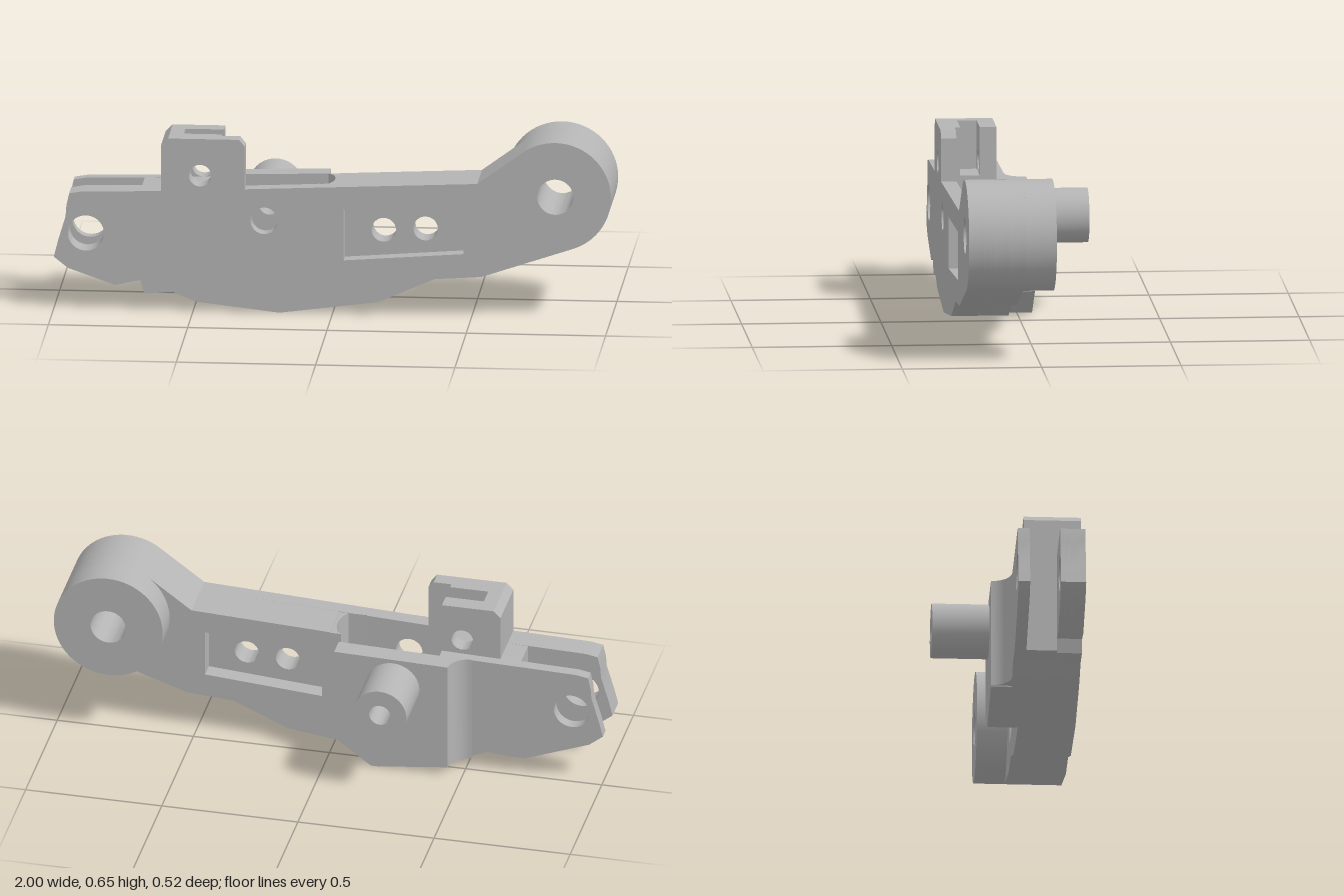
import * as THREE from 'three';
import { toCreasedNormals } from 'three/addons/utils/BufferGeometryUtils.js';

const steel = new THREE.MeshStandardMaterial({ color: 0xb4b4b4 });
steel.name = 'plain grey metal';

const BOSS = [0.8, 0.447];
const PIN = [-0.245, 0.338];

// Points along an arc, from angle a to angle b
function arc(cx, cy, r, a, b, n) {
  return Array.from({ length: n + 1 }, (_, i) => {
    const t = a + ((b - a) * i) / n;
    return [cx + r * Math.cos(t), cy + r * Math.sin(t)];
  });
}
const circle = (c, r, n = 40) => arc(c[0], c[1], r, 0, Math.PI * 2 * (1 - 1 / n), n - 1);
const vec = (pts) => pts.map(([x, y]) => new THREE.Vector2(x, y));

function extrude(pts, holes, depth) {
  const shape = new THREE.Shape(vec(pts));
  for (const h of holes) shape.holes.push(new THREE.Path(vec(h)));
  return new THREE.ExtrudeGeometry(shape, { depth, bevelEnabled: false });
}

function finish(geometry, name) {
  const mesh = new THREE.Mesh(toCreasedNormals(geometry, 0.45), steel);
  mesh.name = name;
  return mesh;
}

// Side profile extruded between two depths
function slab(name, z0, z1, pts, holes = []) {
  const g = extrude(pts, holes, z1 - z0);
  g.translate(0, 0, z0);
  return finish(g, name);
}

// Plan outline (x, z) raised between two heights
function upright(name, y0, y1, pts) {
  const g = extrude(pts, [], y1 - y0);
  g.rotateX(Math.PI / 2);
  g.translate(0, y1, 0);
  return finish(g, name);
}

export function createModel() {
  const group = new THREE.Group();
  group.name = 'leverArm';

  // Profile pieces, running clockwise from the rear lug
  const lug = [[-0.95, 0.15], [-1, 0.19], [-0.985, 0.25], [-0.958, 0.34], [-0.955, 0.38], [-0.945, 0.425], [-0.9, 0.433]];
  const lowerLug = [[-0.71, 0.06]];
  const nickedLug = [[-0.675, 0.06], [-0.69, 0.11], [-0.78, 0.09]];
  const slotEnd = [[-0.69, 0.062], [-0.69, 0.437]];
  const towerRear = [[-0.615, 0.44], [-0.615, 0.61], [-0.59, 0.635]];
  const tower = [...towerRear, [-0.335, 0.635], [-0.315, 0.61], [-0.315, 0.453]];
  const pocket = [[-0.4, 0.1], [0.01, 0.1], [0.01, 0.467]];
  const cutTower = [...towerRear, [-0.4, 0.635], ...pocket];
  const notchedTower = [...towerRear, [-0.54, 0.635], [-0.54, 0.46], [-0.4, 0.46], ...pocket];
  const nose = [[0.52, 0.49], ...arc(BOSS[0], BOSS[1], 0.2, 2.214, -1.24, 36)];
  const belly = [[0.535, 0.147], [0.365, 0.135], [0.165, 0.047], [-0.19, 0]];
  const rearBelly = [[-0.49, 0.035], [-0.575, 0.07], [-0.62, 0.065]];
  const front = [...nose, ...belly, ...rearBelly];

  // Holes
  const bossHole = circle(BOSS, 0.065);
  const lugHole = circle([-0.885, 0.28], 0.065);
  const towerHole = circle([-0.475, 0.5], 0.04);
  const frame = [[0.04, 0.198], [0.47, 0.23], [0.47, 0.405], [0.04, 0.385]];
  const webHoles = [circle([0.18, 0.3], 0.044), circle([0.33, 0.308], 0.044)];

  // Front face plate with recessed frame
  group.add(slab('frontPlate', 0.205, 0.26, [...lug, ...tower, ...front, ...nickedLug],
    [bossHole, lugHole, towerHole, circle(PIN, 0.049), frame]));

  // Core layers around the open pocket
  group.add(slab('frontLugLayer', 0.185, 0.205, [...lug, ...cutTower, ...front, ...nickedLug],
    [bossHole, lugHole, towerHole, ...webHoles]));
  group.add(slab('notchedLugLayer', 0.17, 0.185, [...lug, ...notchedTower, ...front, ...nickedLug],
    [bossHole, lugHole, ...webHoles]));
  group.add(slab('webLayer', 0.115, 0.17, [...slotEnd, ...notchedTower, ...front],
    [bossHole, ...webHoles]));
  group.add(slab('rearFrameLayer', 0.055, 0.115, [...slotEnd, ...cutTower, ...front],
    [bossHole, towerHole, frame]));

  // Rear fork lug joined to the pocket floor
  group.add(slab('rearLug', 0.018, 0.06,
    [...lug, [-0.4, 0.446], [-0.4, 0.1], [-0.03, 0.1], [-0.165, 0], [-0.19, 0], ...rearBelly, ...lowerLug],
    [lugHole]));

  // Rounded end of the pocket
  group.add(upright('pocketEnd', 0.06, 0.465,
    [[0.02, 0.055], [-0.03, 0.055], ...arc(-0.14, 0.13, 0.14, -0.45, 0.56, 12), [-0.09, 0.205], [0.02, 0.205]]));

  // Rear cheek plate with its coved shoulder
  const pinBore = circle(PIN, 0.039);
  group.add(slab('cheekPlate', -0.055, 0.018,
    [[-0.445, 0.445], [-0.03, 0.455], [-0.03, 0.1], [-0.165, 0], [-0.19, 0], [-0.445, 0.03]], [pinBore]));
  group.add(upright('cheekCove', 0.034, 0.445,
    [...arc(-0.52, -0.055, 0.073, Math.PI / 2, 0, 12), [-0.44, -0.055], [-0.44, 0.018]]));

  // Hollow pivot post and the rear half of the end boss
  group.add(slab('pivotPost', -0.26, -0.055, circle(PIN, 0.098), [pinBore]));
  group.add(slab('endBoss', -0.055, 0.055, circle(BOSS, 0.2, 64), [bossHole]));

  return group;
}
